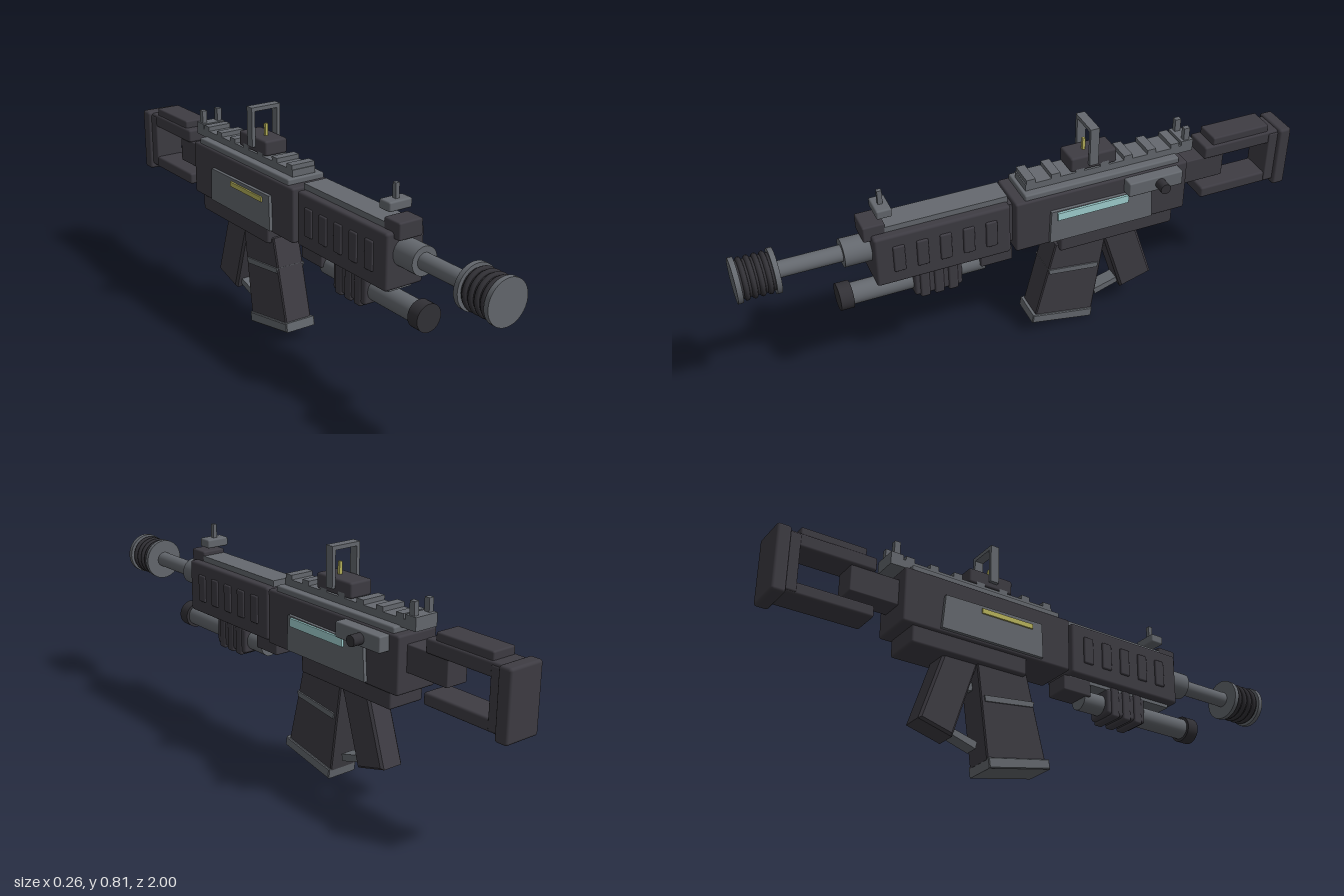
import * as THREE from 'three';
import { RoundedBoxGeometry } from 'three/addons/geometries/RoundedBoxGeometry.js';

const CX = -0.031; // centre plane of the body

export function createModel() {
  const model = new THREE.Group();
  const material = (name, color) => {
    const m = new THREE.MeshStandardMaterial({ color });
    m.name = name;
    return m;
  };
  const dark = material('dark gunmetal', 0x3e3c43);
  const black = material('black rubber', 0x323136);
  const grey = material('steel grey', 0x65696f);
  const cyan = material('pale cyan', 0xa4d6d6);
  const yellow = material('dull yellow', 0xb9b45c);

  const add = (name, geometry, mat) => {
    const mesh = new THREE.Mesh(geometry, mat);
    mesh.name = name;
    model.add(mesh);
    return mesh;
  };
  // Box given by its x, y and z ranges; a bevel rounds its edges
  const box = (name, mat, [x0, x1], [y0, y1], [z0, z1], bevel = 0) => {
    const s = [x1 - x0, y1 - y0, z1 - z0];
    const g = bevel ? new RoundedBoxGeometry(...s, 2, bevel) : new THREE.BoxGeometry(...s);
    g.translate((x0 + x1) / 2, (y0 + y1) / 2, (z0 + z1) / 2);
    return add(name, g, mat);
  };
  // Box of the given width on the centre plane
  const mid = (name, mat, width, y, z, bevel) =>
    box(name, mat, [CX - width / 2, CX + width / 2], y, z, bevel);
  // Cylinder running along z
  const rod = (name, mat, r, y, [z0, z1]) => {
    const g = new THREE.CylinderGeometry(r, r, z1 - z0, 32);
    g.rotateX(Math.PI / 2).translate(CX, y, (z0 + z1) / 2);
    return add(name, g, mat);
  };
  // Side outline in [z, y] points, extruded across x
  const slab = (name, mat, width, points, bevel = 0) => {
    const shape = new THREE.Shape(points.map(([z, y]) => new THREE.Vector2(-z, y)));
    const g = new THREE.ExtrudeGeometry(shape, {
      depth: width - 2 * bevel, bevelEnabled: bevel > 0, bevelSegments: 1,
      bevelThickness: bevel, bevelSize: bevel, bevelOffset: -bevel,
    });
    g.translate(0, 0, -(width - 2 * bevel) / 2).rotateY(Math.PI / 2).translate(CX, 0, 0);
    return add(name, g, mat);
  };

  // Muzzle and barrel
  rod('muzzleFrontFlange', grey, 0.075, 0.53, [0.983, 1]);
  rod('muzzleRearFlange', grey, 0.075, 0.53, [0.86, 0.877]);
  rod('muzzleBody', black, 0.062, 0.53, [0.877, 0.983]);
  for (let i = 0; i < 4; i++) {
    const ring = new THREE.TorusGeometry(0.062, 0.009, 8, 32);
    add('muzzleRing', ring.translate(CX, 0.53, 0.893 + i * 0.025), black);
  }
  rod('barrel', grey, 0.028, 0.53, [0.64, 0.86]);
  rod('barrelCollar', grey, 0.048, 0.53, [0.55, 0.65]);

  // Handguard with side vents and top plate
  mid('handguard', dark, 0.148, [0.412, 0.602], [0.09, 0.56], 0.01);
  mid('handguardTopPlate', grey, 0.09, [0.6, 0.622], [0.09, 0.56]);
  mid('handguardBottomPlate', grey, 0.09, [0.4, 0.414], [0.1, 0.54]);
  mid('handguardJoint', dark, 0.1, [0.44, 0.59], [0.06, 0.1]);
  for (let i = 0; i < 5; i++) {
    mid('handguardVent', dark, 0.162, [0.46, 0.56], [0.14 + i * 0.08, 0.18 + i * 0.08], 0.005);
  }

  // Front sight
  mid('frontSightBlock', dark, 0.092, [0.58, 0.638], [0.51, 0.585], 0.006);
  mid('frontSightBase', grey, 0.088, [0.655, 0.687], [0.482, 0.534], 0.006);
  mid('frontSightPost', grey, 0.014, [0.68, 0.737], [0.5, 0.516]);

  // Receiver
  mid('receiver', dark, 0.162, [0.41, 0.604], [-0.57, 0.075], 0.008);
  mid('receiverTopPlate', grey, 0.146, [0.6, 0.624], [-0.54, 0.038], 0.006);
  mid('lowerReceiver', dark, 0.142, [0.35, 0.415], [-0.53, -0.095], 0.008);
  mid('topRail', grey, 0.09, [0.62, 0.648], [-0.605, 0.025]);
  for (let i = 0; i < 7; i++) {
    const z = 0.005 - i * 0.09;
    mid('railTooth', grey, 0.09, [0.645, 0.664], [z - 0.016, z + 0.016]);
  }

  // Side panels with indicator strips
  for (const side of [-1, 1]) {
    const panel = slab('sidePanel', grey, 0.012,
      [[-0.045, 0.42], [-0.435, 0.42], [-0.425, 0.54], [-0.05, 0.545]]);
    panel.position.x = side * 0.087;
  }
  box('leftIndicator', cyan, [0.062, 0.07], [0.511, 0.54], [-0.335, -0.07]);
  box('rightIndicator', yellow, [-0.13, -0.124], [0.513, 0.53], [-0.29, -0.09]);

  // Charging handle
  box('chargingBlock', grey, [0.045, 0.09], [0.546, 0.6], [-0.53, -0.325], 0.005);
  const knob = new THREE.CylinderGeometry(0.019, 0.019, 0.045, 24);
  knob.rotateZ(Math.PI / 2).translate(0.1075, 0.573, -0.443);
  add('chargingKnob', knob, black);

  // Reflex sight and its open frame
  mid('sightBlock', dark, 0.09, [0.65, 0.704], [-0.31, -0.14], 0.008);
  for (const side of [-1, 1]) {
    const x = CX + side * 0.051;
    box('sightFrameLeg', grey, [x - 0.0065, x + 0.0065], [0.67, 0.81], [-0.235, -0.203]);
  }
  mid('sightFrameTop', grey, 0.115, [0.796, 0.81], [-0.235, -0.203]);
  mid('sightPin', yellow, 0.011, [0.7, 0.747], [-0.21, -0.2]);

  // Rear sight
  mid('rearSightBase', grey, 0.09, [0.625, 0.665], [-0.605, -0.56]);
  for (const side of [-1, 1]) {
    const x = CX + side * 0.031;
    box('rearSightPost', grey, [x - 0.009, x + 0.009], [0.66, 0.711], [-0.592, -0.571]);
  }

  // Magazine
  slab('magazine', dark, 0.106,
    [[-0.085, 0.37], [-0.28, 0.37], [-0.233, 0.03], [-0.008, 0.07]], 0.004);
  slab('magazineBase', grey, 0.12,
    [[0.001, 0.079], [-0.233, 0.036], [-0.228, 0], [0.006, 0.046]], 0.003);
  slab('magazineBand', grey, 0.116,
    [[-0.058, 0.268], [-0.25, 0.245], [-0.246, 0.225], [-0.062, 0.249]]);

  // Pistol grip, trigger and guard
  slab('pistolGrip', dark, 0.09,
    [[-0.265, 0.37], [-0.395, 0.37], [-0.478, 0.118], [-0.355, 0.083]], 0.008);
  slab('trigger', grey, 0.02, [[-0.265, 0.3], [-0.29, 0.3], [-0.3, 0.27], [-0.27, 0.272]]);
  slab('triggerGuard', grey, 0.05,
    [[-0.255, 0.093], [-0.36, 0.123], [-0.352, 0.098], [-0.26, 0.068]]);

  // Stock: tube, two bars and butt
  mid('stockTube', dark, 0.085, [0.48, 0.572], [-0.74, -0.56], 0.004);
  mid('stockUpperBar', dark, 0.106, [0.57, 0.618], [-0.955, -0.655], 0.008);
  mid('stockCheekRest', dark, 0.092, [0.612, 0.645], [-0.915, -0.69], 0.006);
  mid('stockLowerBar', dark, 0.106, [0.405, 0.447], [-0.955, -0.655], 0.008);
  mid('stockRearFrame', dark, 0.112, [0.41, 0.61], [-0.96, -0.915], 0.006);
  mid('buttPad', dark, 0.136, [0.39, 0.622], [-1, -0.952], 0.01);

  // Underbarrel tube with ribbed sleeve
  rod('underbarrelTube', grey, 0.037, 0.355, [0.17, 0.64]);
  rod('underbarrelCap', black, 0.047, 0.355, [0.635, 0.68]);
  mid('underbarrelBracket', dark, 0.092, [0.355, 0.412], [0.075, 0.19], 0.005);
  mid('underbarrelSleeve', dark, 0.098, [0.31, 0.405], [0.258, 0.428], 0.01);
  for (let i = 0; i < 3; i++) {
    mid('sleeveRib', dark, 0.108, [0.301, 0.412], [0.275 + i * 0.05, 0.31 + i * 0.05], 0.008);
  }

  return model;
}
